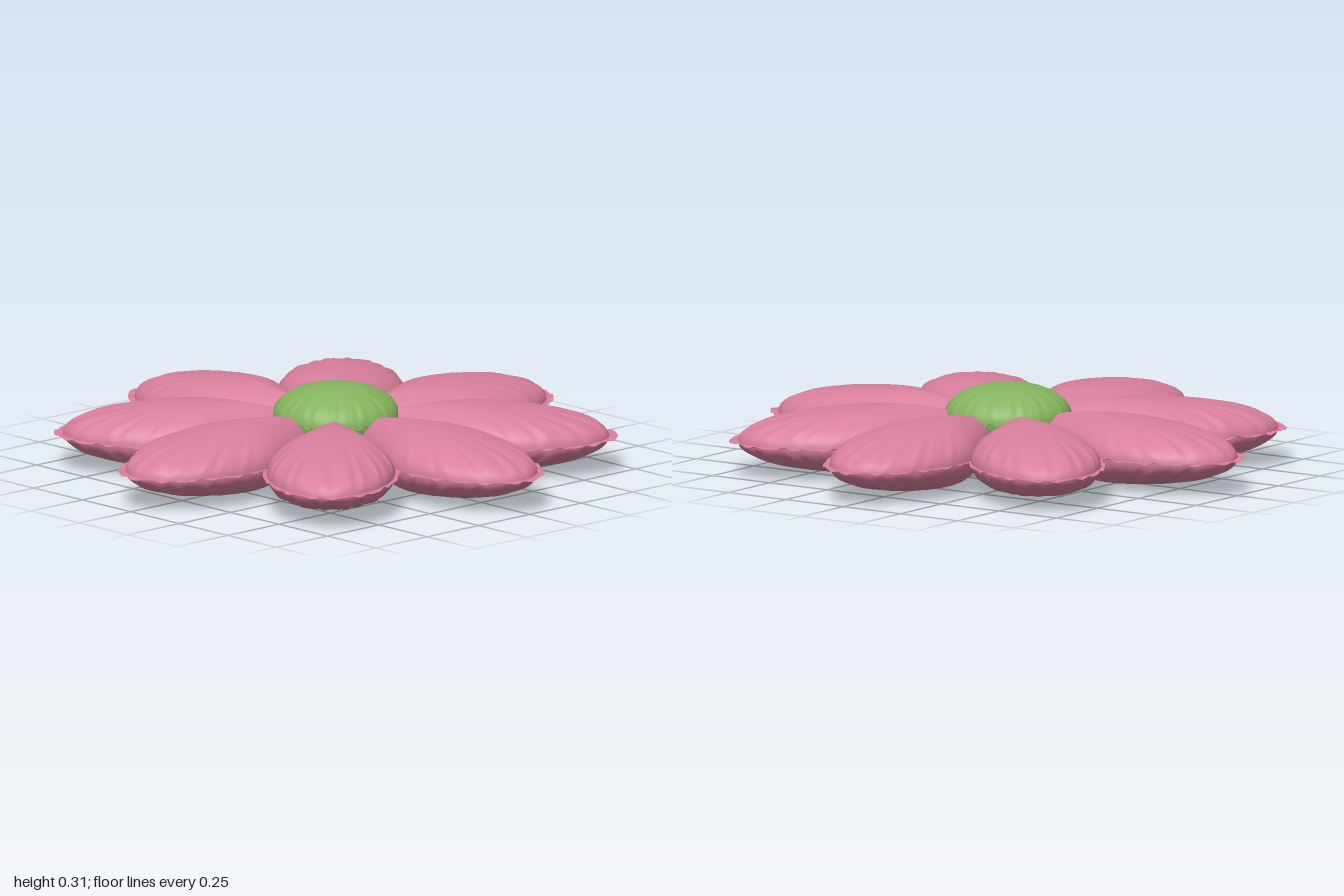
import * as THREE from 'three';
import { mergeGeometries } from 'three/addons/utils/BufferGeometryUtils.js';

// Bend a plane grid (u around the outline, v inward) by a rule
function bentGrid(nu, nv, rule) {
  const g = new THREE.PlaneGeometry(1, 1, nu, nv);
  const p = g.attributes.position;
  for (let i = 0; i < p.count; i++) {
    const [x, y, z] = rule(p.getX(i) + 0.5, p.getY(i) + 0.5);
    p.setXYZ(i, x, y, z);
  }
  g.computeVertexNormals();
  return g;
}

// Stuffed pillow: two domed caps sewn together with a thin seam border.
// outline(u) gives a Vector2 (x, z) running round the centre (0, cz).
function pillow({ outline, cz, inset, height, segments, pleats }) {
  const at = (u, s) => {
    const o = outline(u);
    return [o.x * s, cz + (o.y - cz) * s];
  };
  const ripple = (u) => {
    const t = u * Math.PI * 2;
    return Math.sin(23 * t) + 0.7 * Math.sin(37 * t + 1) + 0.5 * Math.sin(11 * t + 2);
  };
  const cap = (sign) => bentGrid(segments, 18, (u, v) => {
    if (sign < 0) u = 1 - u;
    const phi = (1 - v) * Math.PI / 2;
    const s = Math.sin(phi);
    const [x, z] = at(u, s * inset);
    const h = height * Math.cos(phi) * (1 + pleats(z) * s ** 5 * ripple(u));
    return [x, sign * h, z];
  });
  const seam = bentGrid(segments, 2, (u, v) => {
    const k = 1 - v;
    const [x, z] = at(u, inset - 0.01 + (1.01 - inset) * k);
    return [x, 0.003 * k * ripple(u), z];
  });
  return mergeGeometries([cap(1), cap(-1), seam]);
}

// Half outline of a petal, from the inner tip to the outer tip: [half width, radius]
const half = [[0.05, 0.14], [0.1, 0.23], [0.172, 0.38], [0.228, 0.52],
  [0.24, 0.64], [0.214, 0.79], [0.145, 0.92], [0.075, 0.98]];

function petalOutline() {
  const points = [
    [0, 0.07],
    ...half.map(([x, z]) => [-x, z]),
    [0, 1],
    ...half.slice().reverse(),
  ].map(([x, z]) => new THREE.Vector3(x, 0, z));
  const curve = new THREE.CatmullRomCurve3(points, true);
  curve.arcLengthDivisions = 400;
  return (u) => {
    const p = curve.getPointAt(u);
    return new THREE.Vector2(p.x, p.z);
  };
}

export function createModel() {
  const flower = new THREE.Group();
  flower.name = 'flowerCushion';
  const pink = new THREE.MeshStandardMaterial({ color: 0xd97f9d, side: THREE.DoubleSide });
  const green = new THREE.MeshStandardMaterial({ color: 0x86b45e, side: THREE.DoubleSide });

  // Eight petals, puckered towards their outer ends
  const petalGeometry = pillow({
    outline: petalOutline(),
    cz: 0.42,
    inset: 0.945,
    height: 0.12,
    segments: 144,
    pleats: (z) => 0.1 * THREE.MathUtils.smoothstep(z, 0.4, 0.8),
  });
  for (let i = 0; i < 8; i++) {
    const petal = new THREE.Mesh(petalGeometry, pink);
    petal.name = `petal${i + 1}`;
    petal.position.y = 0.12;
    petal.rotation.y = i * Math.PI / 4;
    flower.add(petal);
  }

  // Round middle cushion
  const centre = new THREE.Mesh(pillow({
    outline: (u) => {
      const a = Math.PI + u * Math.PI * 2;
      return new THREE.Vector2(Math.sin(a), Math.cos(a)).multiplyScalar(0.23);
    },
    cz: 0,
    inset: 0.98,
    height: 0.115,
    segments: 144,
    pleats: () => 0.07,
  }), green);
  centre.name = 'centreCushion';
  centre.position.y = 0.19;
  flower.add(centre);

  return flower;
}
